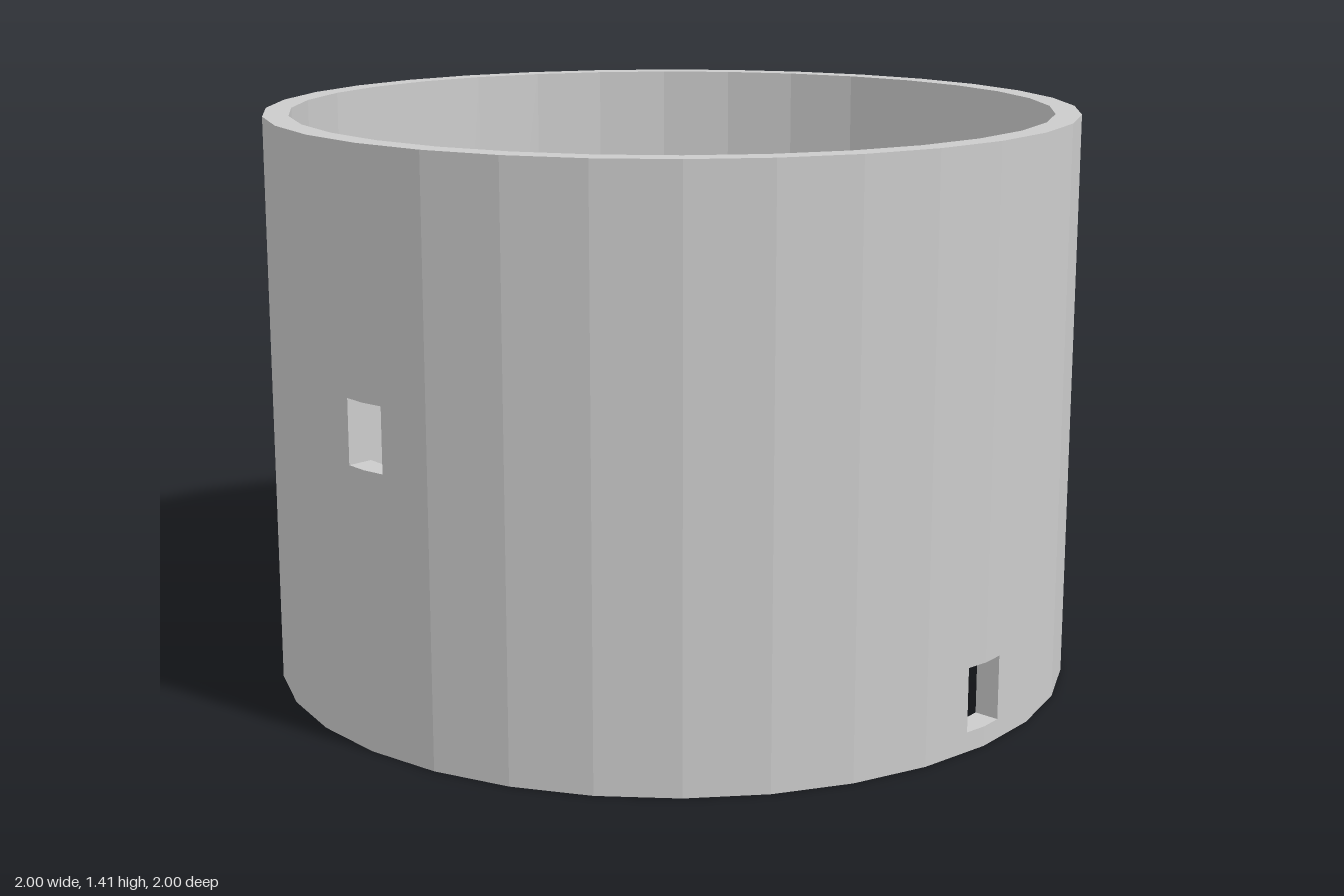
import * as THREE from 'three';

const SIDES = 32, OUTER = 1, INNER = 0.9375, HEIGHT = 1.406;
const HALF_WIDTH = 0.0586; // half width of a window
const SIDE_WINDOW = [0.048, 0.204], FRONT_WINDOW = [0.67, 0.826];

// Point on a ring: a corner of the polygon, or a spot sideways of corner k along its facet
function ringPoint(radius, k, offset = 0) {
  const step = (2 * Math.PI) / SIDES;
  const corner = (i) => new THREE.Vector2(Math.cos(i * step) * radius, -Math.sin(i * step) * radius);
  if (!offset) return corner(k);
  const t = Math.abs(offset) / (radius * Math.sin(step));
  return corner(k).lerp(corner(k + Math.sign(offset)), t);
}

const station = (k, offset) => ({ o: ringPoint(OUTER, k, offset), i: ringPoint(INNER, k, offset) });

function buildWall() {
  const positions = [];
  // Each corner is [point, height], counter-clockwise as seen from outside
  const quad = (...c) => {
    for (const n of [0, 1, 2, 0, 2, 3]) positions.push(c[n][0].x, c[n][1], c[n][0].y);
  };

  // Wall block between stations a and b, from y0 to y1
  const block = (a, b, y0, y1) => {
    quad([a.o, y0], [b.o, y0], [b.o, y1], [a.o, y1]);
    quad([b.i, y0], [a.i, y0], [a.i, y1], [b.i, y1]);
    quad([a.o, y1], [b.o, y1], [b.i, y1], [a.i, y1]);
    quad([a.i, y0], [b.i, y0], [b.o, y0], [a.o, y0]);
  };

  const quarter = SIDES / 4;
  for (let q = 0; q < 4; q++) {
    const k = q * quarter;
    const [low, high] = q % 2 ? FRONT_WINDOW : SIDE_WINDOW;
    const before = station(k, -HALF_WIDTH), middle = station(k), after = station(k, HALF_WIDTH);

    // Wall below and above the window, which straddles a corner
    for (const [a, b] of [[before, middle], [middle, after]]) {
      block(a, b, 0, low);
      block(a, b, high, HEIGHT);
    }

    // Window jambs
    quad([after.i, low], [after.o, low], [after.o, high], [after.i, high]);
    quad([before.o, low], [before.i, low], [before.i, high], [before.o, high]);

    // Plain facets up to the next window
    const run = [after];
    for (let n = 1; n < quarter; n++) run.push(station(k + n));
    run.push(station(k + quarter, -HALF_WIDTH));
    for (let n = 1; n < run.length; n++) block(run[n - 1], run[n], 0, HEIGHT);
  }

  const geometry = new THREE.BufferGeometry();
  geometry.setAttribute('position', new THREE.Float32BufferAttribute(positions, 3));
  geometry.computeVertexNormals();
  return geometry;
}

export function createModel() {
  const model = new THREE.Group();
  model.name = 'windowedRing';
  const material = new THREE.MeshStandardMaterial({ color: 0xcccccc, flatShading: true });
  const wall = new THREE.Mesh(buildWall(), material);
  wall.name = 'ringWall';
  model.add(wall);
  return model;
}
